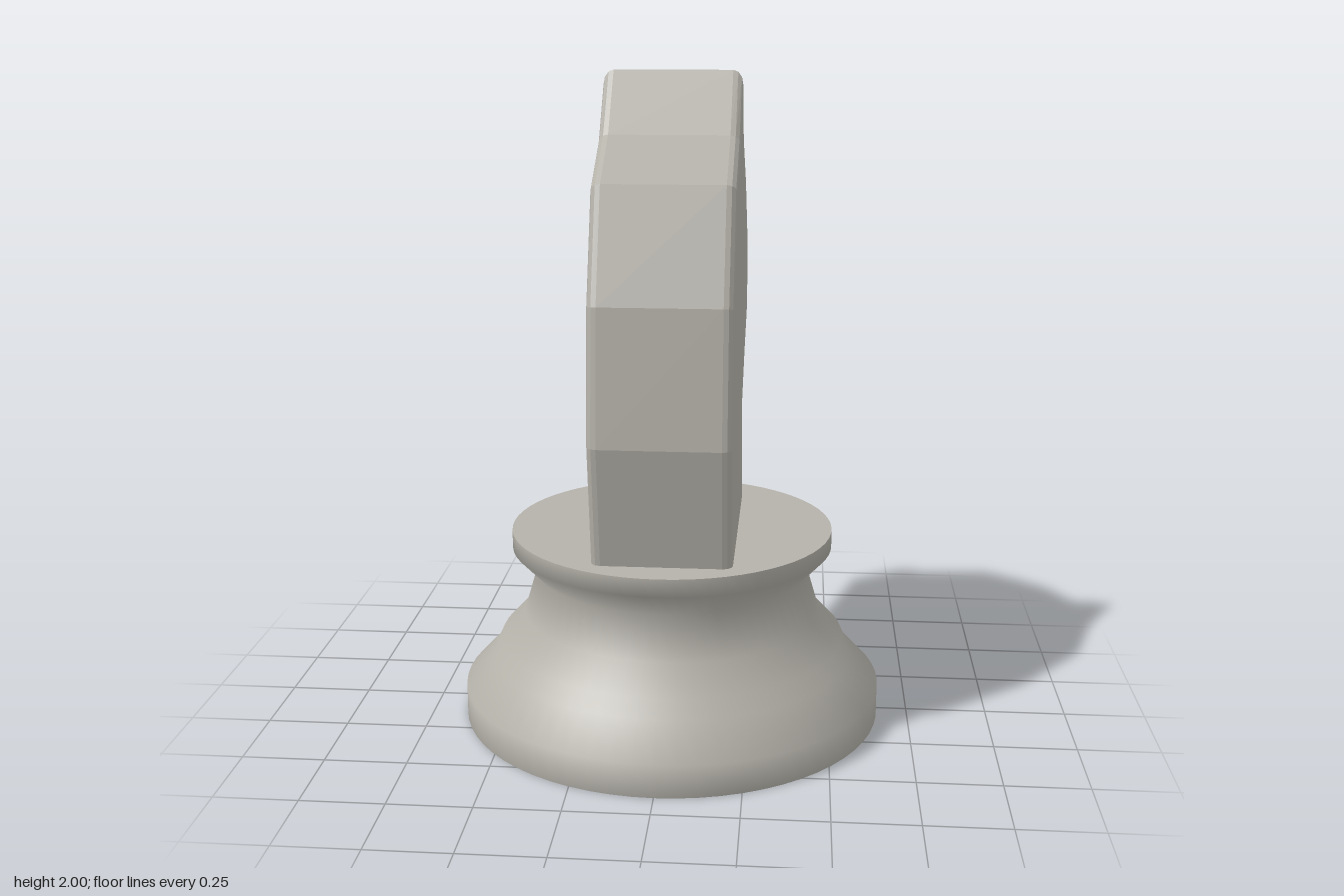
import * as THREE from 'three';

export function createModel() {
  const model = new THREE.Group();
  model.name = 'chessKnight';
  const stone = new THREE.MeshStandardMaterial({ color: 0xb5b2aa });
  stone.name = 'warmGrey';

  const add = (name, geometry, parent = model) => {
    const mesh = new THREE.Mesh(geometry, stone);
    mesh.name = name;
    parent.add(mesh);
    return mesh;
  };

  // Turned pedestal: radius, height
  const SEGMENTS = 64;
  const base = new THREE.Group();
  base.name = 'base';
  model.add(base);
  const profile = [
    [0.635, 0], [0.655, 0], [0.655, 0.1], [0.565, 0.195], [0.54, 0.25],
    [0.465, 0.33], [0.425, 0.465], [0.5, 0.545], [0.5, 0.6],
  ].map(([r, y]) => new THREE.Vector2(r, y));
  add('pedestal', new THREE.LatheGeometry(profile, SEGMENTS), base);

  // Flat caps, turned so their corners meet the pedestal
  const top = new THREE.CircleGeometry(0.5, SEGMENTS).rotateX(-Math.PI / 2);
  add('pedestalTop', top.translate(0, 0.6, 0), base);
  add('pedestalUnderside', new THREE.CircleGeometry(0.635, SEGMENTS).rotateX(Math.PI / 2), base);

  // Horse head side outline (z, y), muzzle towards -z; its foot sinks into the lip
  const outline = [
    [0.394, 0.565], [0.472, 0.97], [0.433, 1.37], [0.308, 1.698], [0.107, 1.82],
    [-0.045, 2.0], [-0.148, 1.812], [-0.38, 1.66], [-0.625, 1.412],
    [-0.625, 1.178], [-0.41, 1.05], [-0.24, 0.92], [-0.351, 0.565],
  ].map(([z, y]) => new THREE.Vector2(z, y));

  const halfWidth = 0.208;
  const bevel = 0.03;
  const head = new THREE.ExtrudeGeometry(new THREE.Shape(outline), {
    depth: 2 * (halfWidth - bevel),
    steps: 1,
    bevelEnabled: true,
    bevelSize: bevel,
    bevelOffset: -bevel,
    bevelThickness: bevel,
    bevelSegments: 3,
  });
  head.translate(0, 0, -(halfWidth - bevel));
  head.rotateY(-Math.PI / 2);
  add('horseHead', head);

  return model;
}
